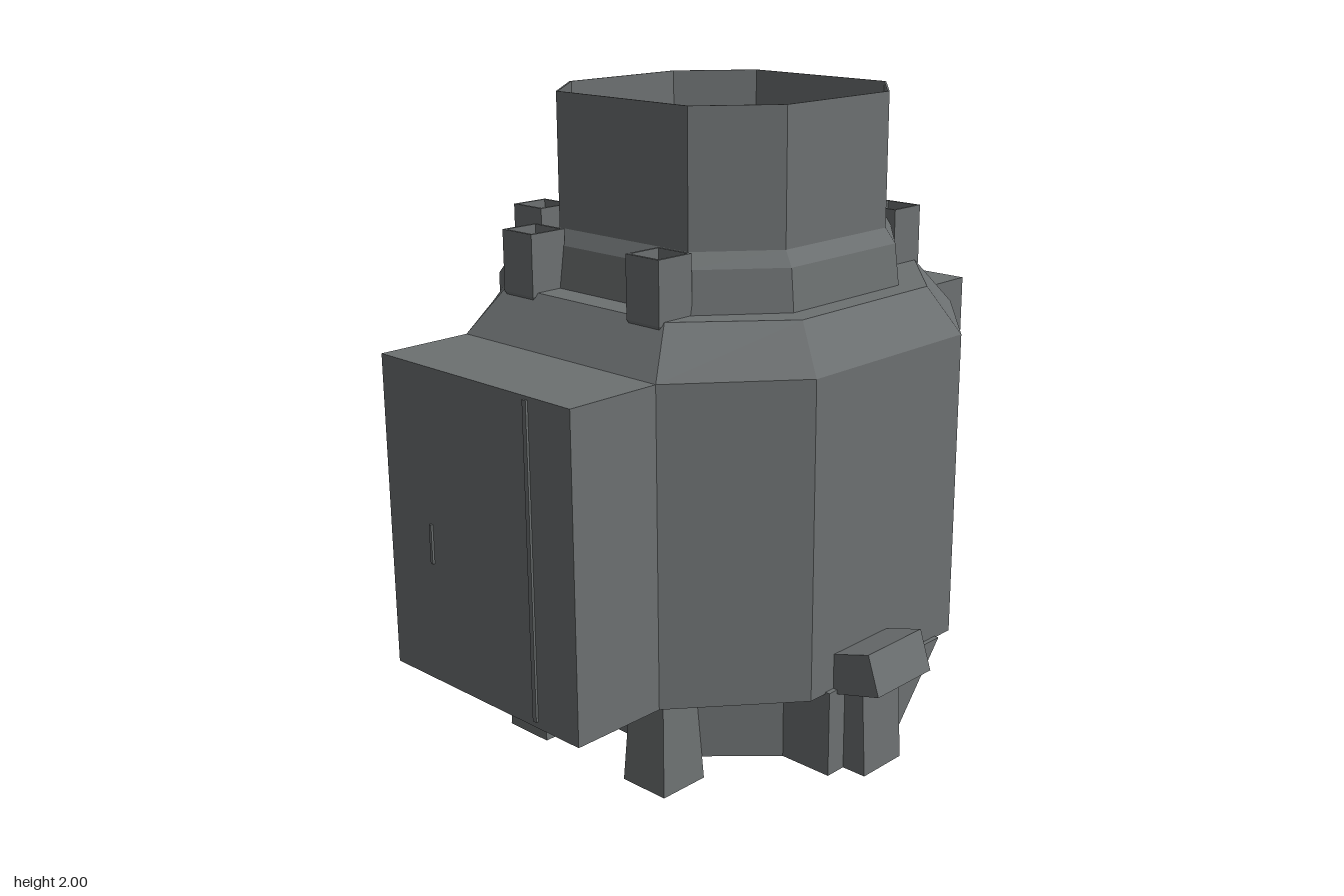
import * as THREE from 'three';

const metal = new THREE.MeshStandardMaterial({ color: 0x6c7071, side: THREE.DoubleSide });
metal.name = 'steel grey';

// Eight corners at height y: half sizes hx, hz; half flat lengths fx, fz; z offset
function octagon(y, hx, hz, fx, fz, cz = 0) {
  return [[hx, fz], [hx, -fz], [fx, -hz], [-fx, -hz], [-hx, -fz], [-hx, fz], [-fx, hz], [fx, hz]]
    .map(([x, z]) => new THREE.Vector3(x, y, z + cz));
}
function square(y, h) {
  return [[h, h], [h, -h], [-h, -h], [-h, h]].map(([x, z]) => new THREE.Vector3(x, y, z));
}

// Flat-faced skin through rings of corners, optionally closed at either end
function loft(name, rings, capStart, capEnd) {
  const pts = [];
  const n = rings[0].length;
  for (let r = 0; r < rings.length - 1; r++) {
    const a = rings[r], b = rings[r + 1];
    for (let i = 0; i < n; i++) {
      const j = (i + 1) % n;
      pts.push(a[i], a[j], b[j], a[i], b[j], b[i]);
    }
  }
  const first = rings[0], last = rings[rings.length - 1];
  for (let i = 1; i < n - 1; i++) {
    if (capStart) pts.push(first[0], first[i + 1], first[i]);
    if (capEnd) pts.push(last[0], last[i], last[i + 1]);
  }
  const geo = new THREE.BufferGeometry().setFromPoints(pts);
  geo.computeVertexNormals();
  const mesh = new THREE.Mesh(geo, metal);
  mesh.name = name;
  return mesh;
}

// Box given by its limits on each axis
function box(name, x0, x1, y0, y1, z0, z1) {
  const mesh = new THREE.Mesh(new THREE.BoxGeometry(x1 - x0, y1 - y0, z1 - z0), metal);
  mesh.position.set((x0 + x1) / 2, (y0 + y1) / 2, (z0 + z1) / 2);
  mesh.name = name;
  return mesh;
}

// Side outline of [z, y] points, extruded along x
function sideProfile(name, points, x0, x1) {
  const shape = new THREE.Shape(points.map(([z, y]) => new THREE.Vector2(-z, y)));
  const geo = new THREE.ExtrudeGeometry(shape, { depth: x1 - x0, bevelEnabled: false });
  geo.rotateY(Math.PI / 2);
  const mesh = new THREE.Mesh(geo, metal);
  mesh.position.x = x0;
  mesh.name = name;
  return mesh;
}

export function createModel() {
  const model = new THREE.Group();
  model.name = 'steelTank';

  // Base, main drum and its sloping shoulder
  model.add(loft('base', [
    octagon(0.07, 0.49, 0.53, 0.26, 0.29), octagon(0.34, 0.49, 0.53, 0.26, 0.29),
  ], true, false));
  model.add(loft('drum', [
    octagon(0.33, 0.67, 0.68, 0.335, 0.4), octagon(1.29, 0.67, 0.68, 0.335, 0.4),
    octagon(1.43, 0.565, 0.585, 0.285, 0.33), 
  ], true, true));

  // Collar and open neck with a recessed floor
  const c = 0.03;
  model.add(loft('neck', [
    octagon(1.42, 0.48, 0.485, 0.24, 0.285, c), octagon(1.555, 0.46, 0.47, 0.235, 0.28, c),
    octagon(1.6, 0.435, 0.44, 0.225, 0.265, c), octagon(2, 0.435, 0.44, 0.225, 0.265, c),
    octagon(2, 0.43, 0.435, 0.222, 0.262, c), octagon(1.58, 0.43, 0.435, 0.222, 0.262, c),
    octagon(1.56, 0.35, 0.35, 0.18, 0.195, c), octagon(1.52, 0.35, 0.35, 0.18, 0.195, c),
  ], false, true));

  // Side cabinets
  model.add(box('leftCabinet', 0.6, 0.985, 0.33, 1.29, -0.22, 0.225));
  model.add(box('rightCabinet', -0.978, -0.6, 0.33, 1.29, -0.4, 0.4));
  model.add(box('cabinetSeam', -0.985, -0.977, 0.35, 1.28, 0.22, 0.235));
  model.add(box('cabinetLatch', -0.985, -0.977, 0.7, 0.82, -0.21, -0.2));
  model.add(box('drainKnob', 0.64, 0.7, 0.43, 0.49, -0.245, -0.22));

  // Column on the back, held between two brackets
  model.add(box('backColumn', -0.085, 0.08, 0.42, 1.15, -0.83, -0.66));
  model.add(box('upperBracket', -0.105, 0.1, 1.14, 1.27, -0.84, -0.66));
  model.add(box('lowerBracket', -0.105, 0.1, 0.375, 0.43, -0.845, -0.66));

  // Feet below and open sockets above, at the same six places
  const places = [];
  for (const s of [1, -1]) {
    places.push([s * 0.52, 0.265, 0, 1.42], [s * 0.52, -0.255, 0, 1.42], [s * 0.255, -0.515, 0.02, 1.43]);
  }
  for (const [x, z, footY, socketY] of places) {
    const foot = loft('foot', [
      square(0.06, 0.05), square(0, 0.06), square(0, 0.085), square(0.36 - footY, 0.065),
    ], true, true);
    foot.position.set(x, footY, z);
    const socket = loft('socket', [
      square(-0.04, 0.045), square(0, 0.064), square(0.185, 0.064),
      square(0.185, 0.055), square(0.03, 0.055),
    ], true, true);
    socket.position.set(x, socketY, z);
    model.add(foot, socket);
  }

  // Sloping braces behind the rear sockets
  for (const x of [-0.255, 0.255]) {
    model.add(sideProfile('socketBrace',
      [[-0.55, 1.3], [-0.55, 1.48], [-0.575, 1.48], [-0.67, 1.38], [-0.67, 1.29]], x - 0.06, x + 0.06));
  }

  // Slanted front skirt, outlet post and tilted hood
  const skirtShape = new THREE.Shape([
    new THREE.Vector2(-0.27, 0.07), new THREE.Vector2(0.04, 0.07),
    new THREE.Vector2(0.26, 0.335), new THREE.Vector2(-0.27, 0.335),
  ]);
  const skirt = new THREE.Mesh(new THREE.ExtrudeGeometry(skirtShape, { depth: 0.2, bevelEnabled: false }), metal);
  skirt.name = 'frontSkirt';
  skirt.position.z = 0.495;
  model.add(skirt);
  model.add(sideProfile('outletPost', [[0.68, 0.07], [0.775, 0.07], [0.76, 0.36], [0.68, 0.36]], -0.2, -0.03));
  model.add(sideProfile('outletHood', [[0.67, 0.315], [0.845, 0.36], [0.805, 0.48], [0.67, 0.44]], -0.235, 0.012));

  return model;
}
